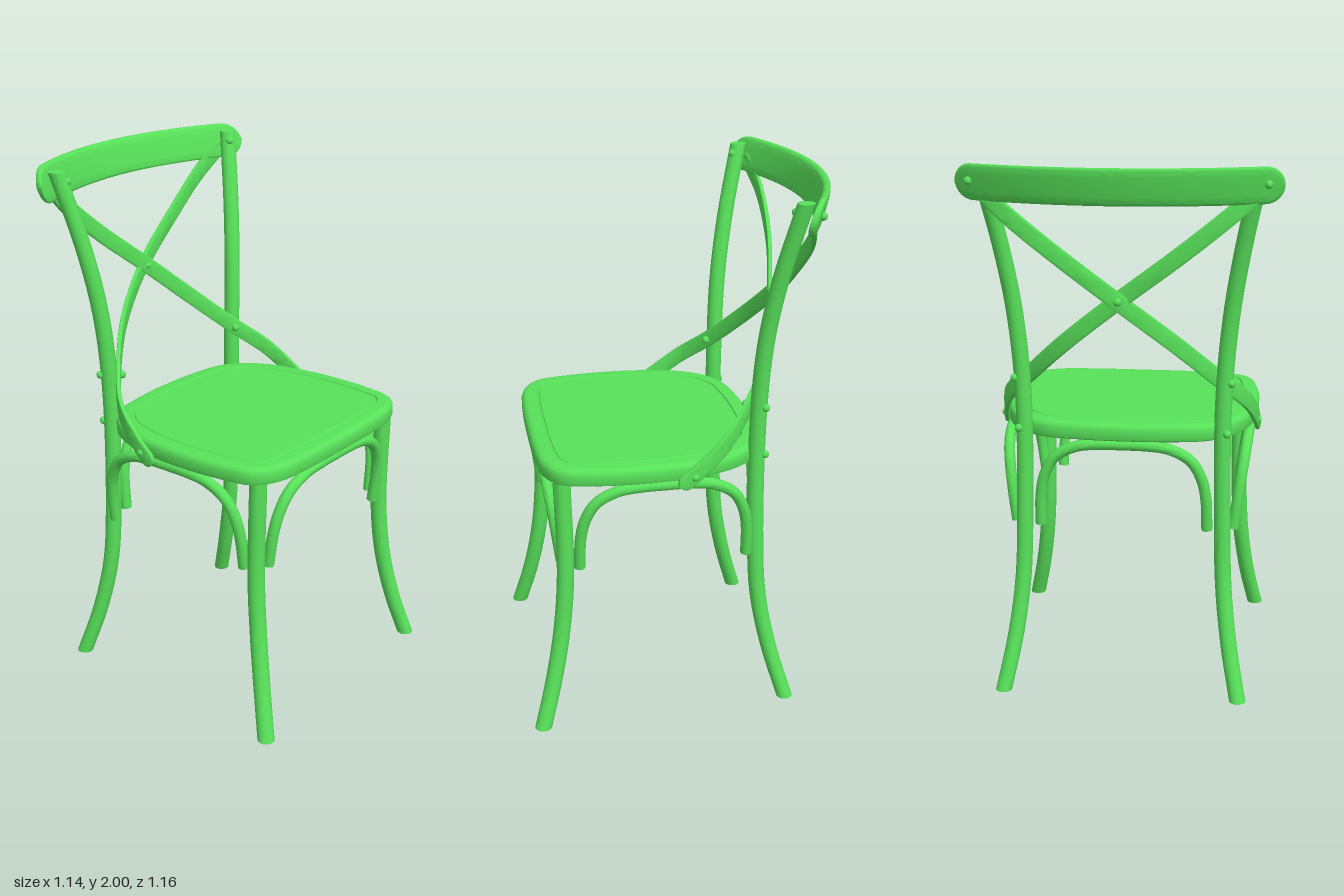
import * as THREE from 'three';
import { toCreasedNormals } from 'three/addons/utils/BufferGeometryUtils.js';

const V = (x, y, z) => new THREE.Vector3(x, y, z);
const material = new THREE.MeshStandardMaterial({ color: 0x58e25a });
const curve = (pts, closed = false) =>
  new THREE.CatmullRomCurve3(pts.map((p) => V(...p)), closed, 'centripetal');

// Skin a list of equal-sized rings, close both ends, face outwards
function loft(rings, crease = 0.7) {
  const n = rings[0].length, pos = [], index = [];
  const pts = rings.flat();
  for (const ring of [rings[0], rings[rings.length - 1]]) {
    pts.push(ring.reduce((c, p) => c.add(p), V(0, 0, 0)).divideScalar(n));
  }
  pts.forEach((p) => pos.push(p.x, p.y, p.z));
  const last = (rings.length - 1) * n;
  for (let j = 0; j < n; j++) {
    const k = (j + 1) % n;
    for (let i = 0; i < last; i += n) {
      index.push(i + j, i + k, i + n + j, i + k, i + n + k, i + n + j);
    }
    index.push(pts.length - 2, k, j, pts.length - 1, last + j, last + k);
  }
  let volume = 0;
  const c = V(0, 0, 0);
  for (let i = 0; i < index.length; i += 3) {
    volume += pts[index[i]].dot(c.crossVectors(pts[index[i + 1]], pts[index[i + 2]]));
  }
  if (volume < 0) index.reverse();
  const g = new THREE.BufferGeometry();
  g.setAttribute('position', new THREE.Float32BufferAttribute(pos, 3));
  g.setIndex(index);
  return toCreasedNormals(g, crease);
}

// Superellipse section: a, b are half sizes, e below 1 squares it off
function section(a, b, e, n) {
  return Array.from({ length: n }, (_, i) => {
    const t = (i / n) * Math.PI * 2, p = Math.cos(t), q = Math.sin(t);
    return [a * Math.sign(p) * Math.abs(p) ** e, b * Math.sign(q) * Math.abs(q) ** e];
  });
}

// Legs keep level rings so that the feet are cut flat on the floor
function legGeometry(pts, radius) {
  return loft(curve(pts).getSpacedPoints(36).map((p) =>
    section(radius, radius, 1, 18).map(([a, b]) => V(p.x + a, p.y, p.z + b))));
}

// Bent round rod between two legs; out is the horizontal direction it bulges to
function archGeometry(pts, out) {
  const path = curve(pts), steps = 48;
  return loft(Array.from({ length: steps + 1 }, (_, i) => {
    const p = path.getPointAt(i / steps), t = path.getTangentAt(i / steps);
    const v = t.clone().cross(out).normalize(), u = v.clone().cross(t);
    return section(0.021, 0.021, 1, 14).map(([a, b]) =>
      p.clone().addScaledVector(u, a).addScaledVector(v, b));
  }));
}

// Flat strap standing on edge with rounded ends
function strapGeometry(pts) {
  const path = curve(pts), steps = 64, len = path.getLength(), w = 0.031;
  return loft(Array.from({ length: steps + 1 }, (_, i) => {
    const f = 0.5 - 0.5 * Math.cos((Math.PI * i) / steps);
    const p = path.getPointAt(f), t = path.getTangentAt(f);
    const normal = t.clone().cross(V(0, 1, 0)).normalize();
    const across = t.clone().cross(normal);
    const d = Math.min(1, Math.min(f, 1 - f) * len / w);
    const half = w * Math.max(0.15, Math.sqrt(1 - (1 - d) ** 2));
    return section(0.009, half, 0.4, 16).map(([a, b]) =>
      p.clone().addScaledVector(normal, a).addScaledVector(across, b));
  }));
}

// Curved top rail, leaning back, with round ends
function railGeometry() {
  const steps = 60;
  return loft(Array.from({ length: steps + 1 }, (_, i) => {
    const x = 0.57 * Math.sin(Math.PI * (i / steps - 0.5));
    const d = Math.max(0, (Math.abs(x) - 0.505) / 0.065);
    const half = 0.065 * Math.max(0.08, Math.sqrt(Math.max(0, 1 - d * d)));
    const z = -0.552 + 0.148 * (x / 0.57) ** 2;
    return section(0.017 - 0.004 * d, half, 0.5, 24).map(([a, b]) =>
      V(x, 1.935 + b, z + a - 0.27 * b));
  }));
}

// Seat: rings of one outline, each moved inwards and set at a height
function seatGeometry() {
  const half = [[0.2, 0.522], [0.36, 0.505], [0.445, 0.45], [0.476, 0.34], [0.49, 0.15],
    [0.48, 0], [0.448, -0.14], [0.39, -0.24], [0.3, -0.305], [0.15, -0.333]];
  const right = half.map(([x, z]) => [x, 0, z]);
  const left = half.map(([x, z]) => [-x, 0, z]).reverse();
  const outline = curve([[0, 0, 0.525], ...right, [0, 0, -0.34], ...left], true);
  const n = 96;
  const ring = ([inset, y]) => Array.from({ length: n }, (_, i) => {
    const p = outline.getPointAt(i / n), t = outline.getTangentAt(i / n);
    return V(p.x + inset * t.z, y, p.z - inset * t.x);
  });
  const profile = [
    [0.08, 1.012], [0.072, 0.987], [0.012, 0.985], [0.003, 0.99], [0, 1.0], [0, 1.03],
    [0.005, 1.042], [0.015, 1.049], [0.025, 1.051], [0.06, 1.051], [0.063, 1.046],
    [0.069, 1.046], [0.072, 1.05]];
  return loft(profile.map(ring), 0.6);
}

export function createModel() {
  const chair = new THREE.Group();
  chair.name = 'chair';
  const add = (name, geometry) => {
    const mesh = new THREE.Mesh(geometry, material);
    mesh.name = name;
    chair.add(mesh);
    return mesh;
  };

  add('seat', seatGeometry());
  add('topRail', railGeometry());

  // Arches under the front and back of the seat
  const archShape = [[1, 0.635], [0.985, 0.76], [0.93, 0.84], [0.8, 0.91], [0.55, 0.953], [0.28, 0.964]];
  const bulge = [0, 0.35, 0.58, 0.8, 0.95, 1];
  const archPoints = (half, end, out) => {
    const side = archShape.map(([u, y], i) => [u * half, y, end + out * bulge[i]]);
    const other = side.map(([x, y, z]) => [-x, y, z]).reverse();
    return [...side, [0, 0.965, end + out], ...other];
  };
  add('frontArch', archGeometry(archPoints(0.345, 0.445, 0.045), V(0, 0, 1)));
  add('backArch', archGeometry(archPoints(0.315, -0.275, -0.03), V(0, 0, -1)));

  for (const s of [1, -1]) {
    const side = s > 0 ? 'left' : 'right';

    add(side + 'FrontLeg', legGeometry([[s * 0.485, 0, 0.547], [s * 0.448, 0.17, 0.5],
      [s * 0.42, 0.37, 0.46], [s * 0.408, 0.6, 0.438], [s * 0.405, 0.99, 0.441]], 0.032));
    add(side + 'BackLeg', legGeometry([[s * 0.447, 0, -0.405], [s * 0.408, 0.2, -0.347],
      [s * 0.382, 0.42, -0.304], [s * 0.373, 0.65, -0.289], [s * 0.37, 1.15, -0.287],
      [s * 0.392, 1.45, -0.301], [s * 0.43, 1.7, -0.337], [s * 0.487, 1.98, -0.4]], 0.031));

    // Side arch: same shape, turned to run from front to back
    const sidePts = archPoints(0.314, 0.412, 0.046).map(([u, y, o]) => [s * o, y, u + 0.071]);
    add(side + 'SideArch', archGeometry(sidePts, V(s, 0, 0)));

    // Crossing strap from the seat side to the opposite top corner
    add(side + 'CrossStrap', strapGeometry([[s * 0.492, 0.965, 0.025], [s * 0.482, 1.03, -0.06],
      [s * 0.448, 1.115, -0.16], [s * 0.35, 1.215, -0.26], [s * 0.2, 1.36, -0.363],
      [0, 1.525, -0.425 + s * 0.009], [s * -0.2, 1.68, -0.457],
      [s * -0.38, 1.825, -0.46], [s * -0.5, 1.93, -0.43]]));

    // Round-headed screws
    const screws = [[0.49, 1.0, -0.03], [0.345, 1.21, -0.247], [0.398, 1.21, -0.308],
      [0.385, 1.02, -0.313], [0.465, 1.945, -0.372], [0.515, 1.94, -0.452]];
    for (const [x, y, z] of screws) {
      add(side + 'Screw', new THREE.SphereGeometry(0.015, 14, 10)).position.set(s * x, y, z);
    }
    add('crossScrew', new THREE.SphereGeometry(0.015, 14, 10)).position.set(0, 1.525, -0.428 + s * 0.012);
  }
  return chair;
}
